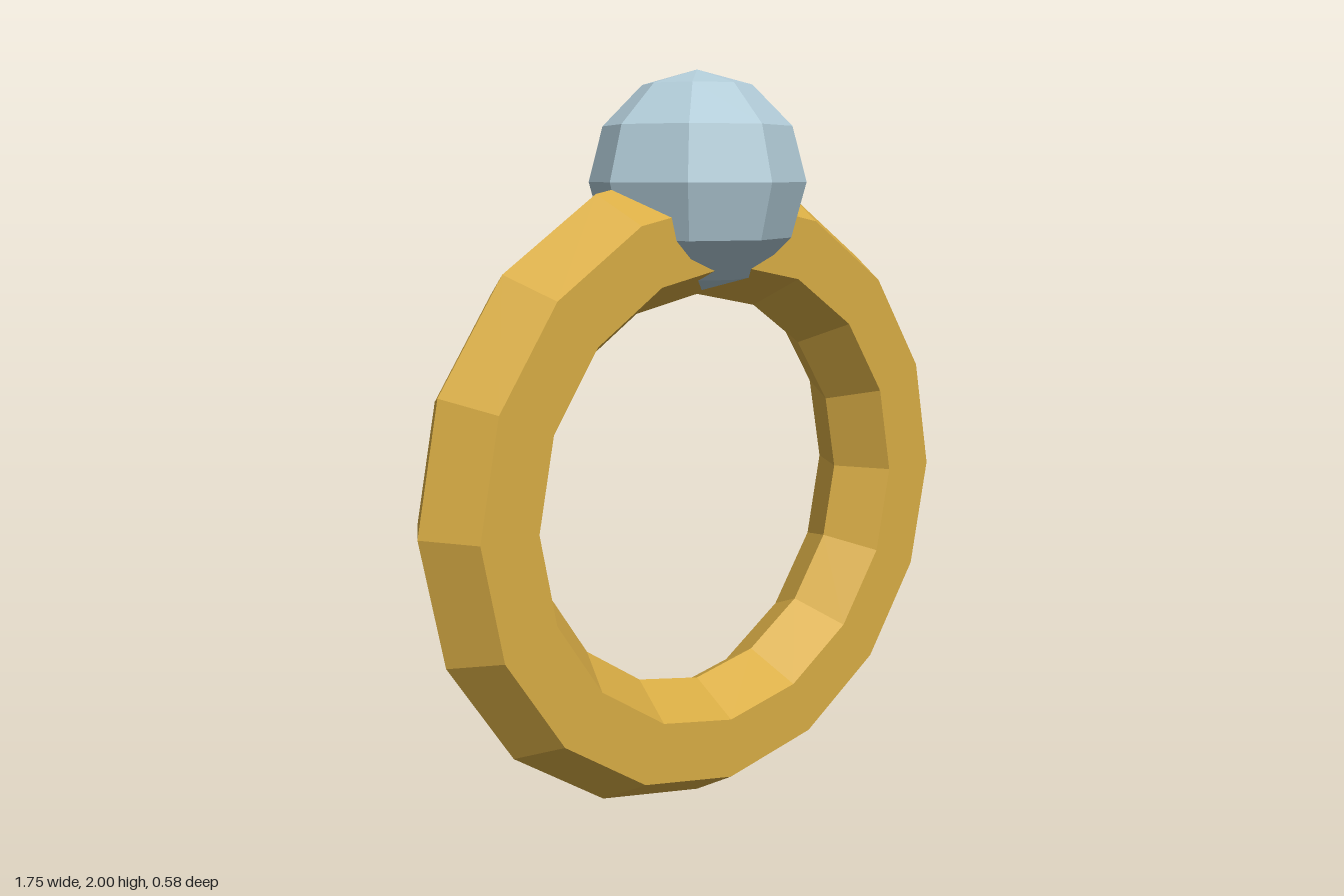
import * as THREE from 'three';

// Split shared vertices so every facet is flat
function faceted(geometry) {
  const flat = geometry.toNonIndexed();
  flat.computeVertexNormals();
  return flat;
}

export function createModel() {
  const group = new THREE.Group();
  group.name = 'ring';

  const gold = new THREE.MeshStandardMaterial({ color: 0xd9ad45 });
  gold.name = 'gold';
  const paleBlue = new THREE.MeshStandardMaterial({ color: 0xb0cad6 });
  paleBlue.name = 'pale blue';

  // Band: sixteen segments with a hexagonal section
  const band = new THREE.Mesh(faceted(new THREE.TorusGeometry(0.707, 0.167, 6, 16)), gold);
  band.name = 'band';
  band.position.y = 0.874;
  group.add(band);

  // Faceted stone sunk into the top of the band
  const stone = new THREE.Mesh(faceted(new THREE.SphereGeometry(0.29, 8, 6)), paleBlue);
  stone.name = 'stone';
  stone.position.y = 1.71;
  group.add(stone);

  return group;
}
